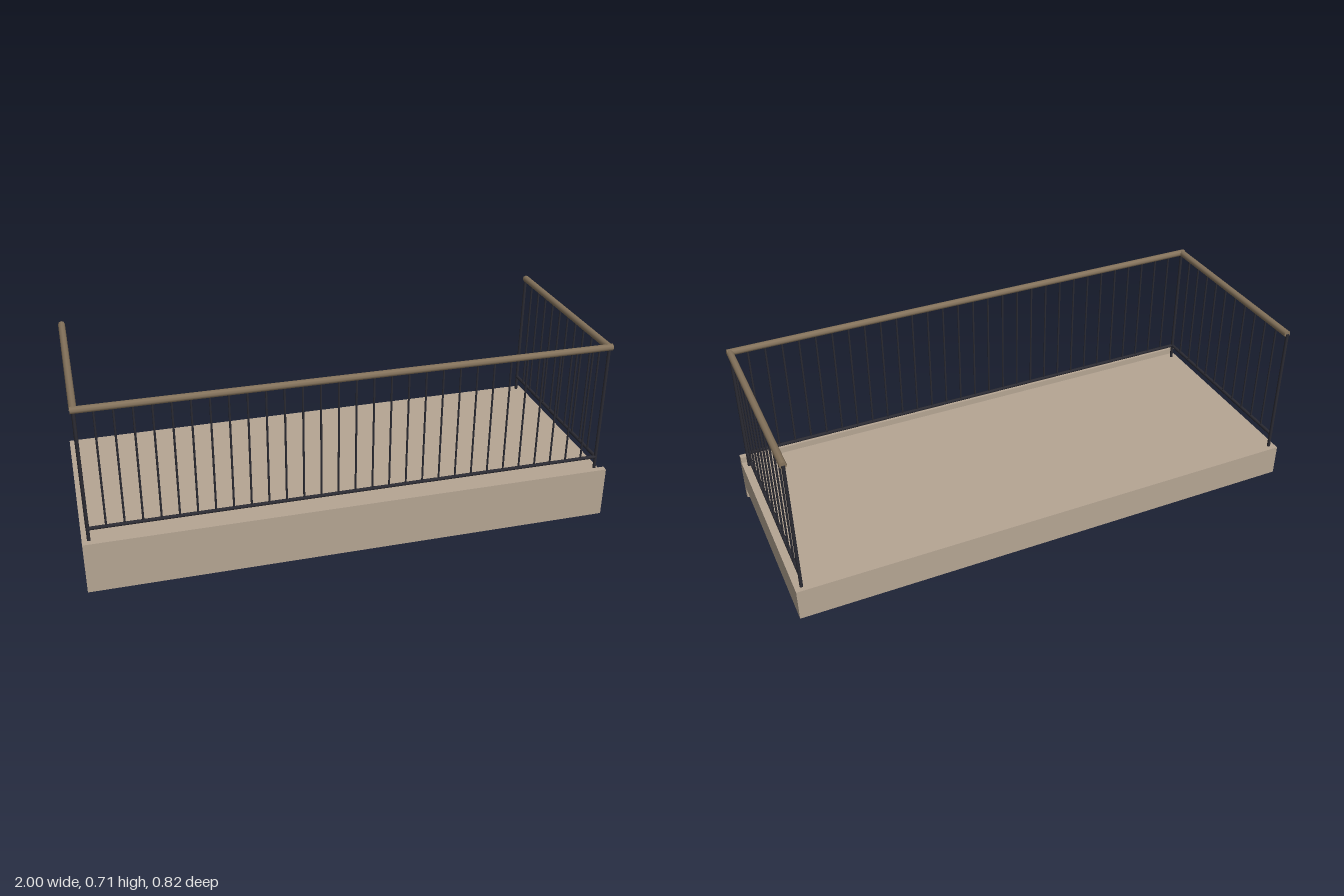
import * as THREE from 'three';

export function createModel() {
  const model = new THREE.Group();
  model.name = 'balcony';
  const stone = new THREE.MeshStandardMaterial({ color: 0xb5a593 });
  stone.name = 'stone';
  const metal = new THREE.MeshStandardMaterial({ color: 0x2b2b33 });
  metal.name = 'dark metal';
  const wood = new THREE.MeshStandardMaterial({ color: 0x85735c });
  wood.name = 'handrail wood';

  const SIDE_X = 0.975, FRONT_Z = 0.364, BACK_Z = -0.388;
  const FLOOR_Y = 0.175, LOW_Y = 0.235, TOP_Y = 0.701;

  function box(name, x0, x1, y0, y1, z0, z1) {
    const mesh = new THREE.Mesh(new THREE.BoxGeometry(x1 - x0, y1 - y0, z1 - z0), stone);
    mesh.position.set((x0 + x1) / 2, (y0 + y1) / 2, (z0 + z1) / 2);
    mesh.name = name;
    model.add(mesh);
  }

  // Round bar running between two points
  const up = new THREE.Vector3(0, 1, 0);
  function bar(name, parent, material, radius, from, to) {
    const a = new THREE.Vector3(...from), b = new THREE.Vector3(...to);
    const dir = b.clone().sub(a);
    const mesh = new THREE.Mesh(new THREE.CylinderGeometry(radius, radius, dir.length(), 8), material);
    mesh.position.copy(a).add(b).multiplyScalar(0.5);
    mesh.quaternion.setFromUnitVectors(up, dir.normalize());
    mesh.name = name;
    parent.add(mesh);
  }

  // Floor slab and the taller fascia along its front
  box('floorSlab', -1, 1, 0.05, FLOOR_Y, -0.412, 0.389);
  box('frontFascia', -1, 1, 0, 0.2, 0.389, 0.412);

  // One railing panel: handrail, lower rail and evenly spaced balusters
  function panel(name, [x0, z0], [x1, z1], spaces, overhang) {
    const group = new THREE.Group();
    group.name = name;
    model.add(group);
    bar('handrail', group, wood, 0.0132, [x0 - overhang, TOP_Y, z0], [x1 + overhang, TOP_Y, z1]);
    bar('lowerRail', group, metal, 0.0068, [x0, LOW_Y, z0], [x1, LOW_Y, z1]);
    for (let i = 1; i < spaces; i++) {
      const t = i / spaces;
      const x = x0 + (x1 - x0) * t, z = z0 + (z1 - z0) * t;
      bar('baluster', group, metal, 0.0038, [x, LOW_Y, z], [x, 0.698, z]);
    }
  }
  panel('frontRailing', [-SIDE_X, FRONT_Z], [SIDE_X, FRONT_Z], 30, 0.011);
  panel('leftRailing', [SIDE_X, FRONT_Z], [SIDE_X, BACK_Z], 11, 0);
  panel('rightRailing', [-SIDE_X, FRONT_Z], [-SIDE_X, BACK_Z], 11, 0);

  // Corner posts
  for (const x of [-SIDE_X, SIDE_X]) {
    for (const z of [FRONT_Z, BACK_Z]) {
      bar('cornerPost', model, metal, 0.0063, [x, FLOOR_Y, z], [x, 0.701, z]);
    }
  }
  return model;
}
